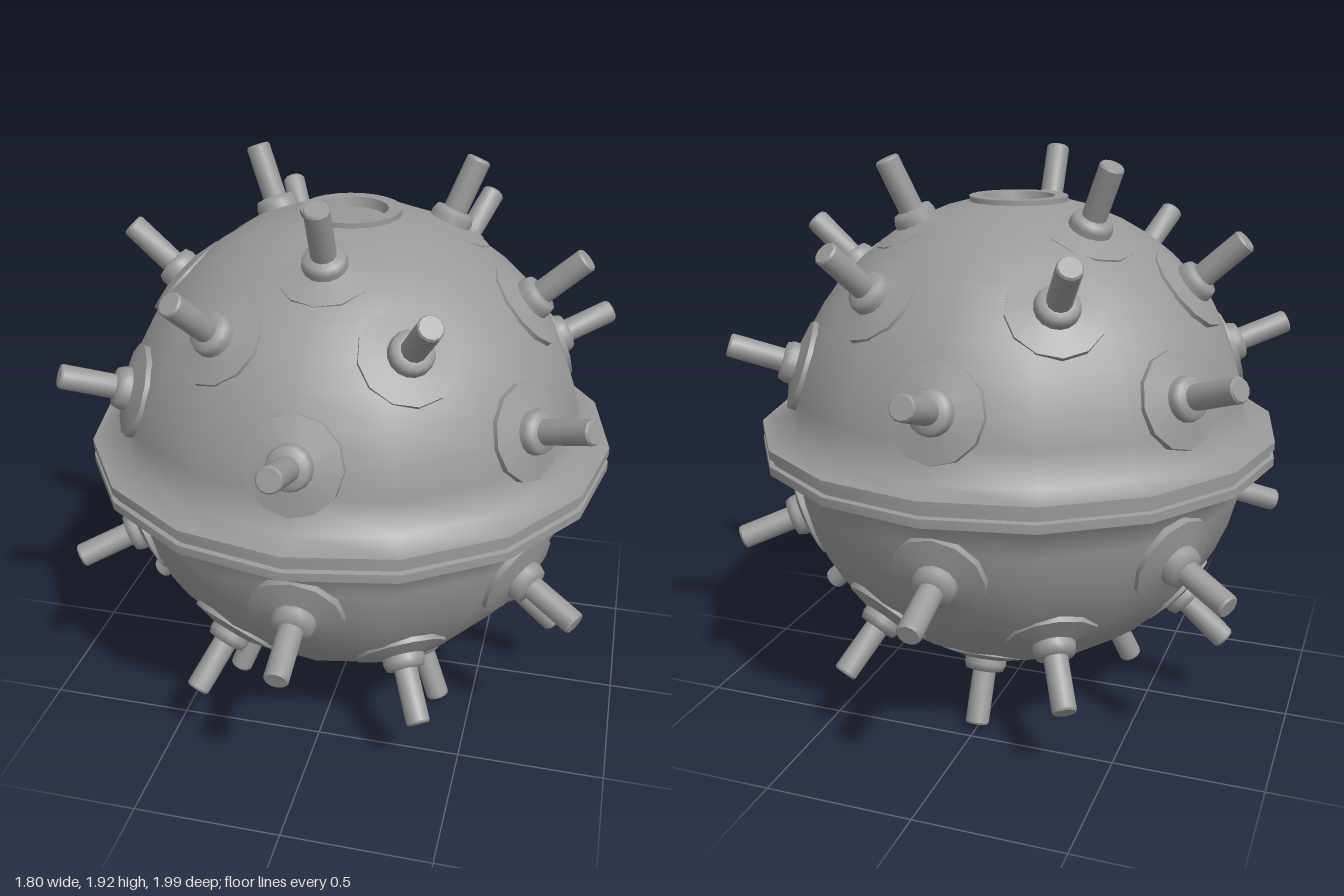
import * as THREE from 'three';
import { toCreasedNormals } from 'three/addons/utils/BufferGeometryUtils.js';

const material = new THREE.MeshStandardMaterial({ color: 0x999999 });
const RADIUS = 0.805;
const POLAR_RADIUS = 0.82;
const CENTRE_Y = 0.969;

const points = (list) => list.map(([x, y]) => new THREE.Vector2(x, y));
const smoothLathe = (list, sides) => new THREE.LatheGeometry(points(list), sides);
const sharpLathe = (list, sides) => toCreasedNormals(smoothLathe(list, sides), 0.6);

function addMesh(parent, geometry, name) {
  const mesh = new THREE.Mesh(geometry, material);
  mesh.name = name;
  parent.add(mesh);
  return mesh;
}

// Hemisphere whose shading blends smoothly into the equator flange
function shellGeometry() {
  const profile = [[0.9, 0.042], [RADIUS, 0.06]];
  const steps = 9;
  for (let i = 0; i <= steps; i++) {
    const e = THREE.MathUtils.degToRad(12 + (67 * i) / steps);
    profile.push([RADIUS * Math.cos(e), POLAR_RADIUS * Math.sin(e)]);
  }
  return smoothLathe(profile, 16);
}

// Parts shared by both halves; horns are built along +y from the sphere centre
const shell = shellGeometry();
const flangeEdge = sharpLathe([[0.885, 0], [0.885, 0.009], [0.9, 0.013], [0.9, 0.042]], 16);
const portRing = sharpLathe(
  [[0.167, 0.76], [0.167, 0.818], [0.122, 0.818], [0.116, 0.785], [0, 0.785]], 24);
const hornPlate = sharpLathe([[0.157, 0.74], [0.157, 0.799], [0.06, 0.82]], 12);
const hornCollar = smoothLathe(
  [[0.072, 0.78], [0.072, 0.835], [0.064, 0.857], [0.035, 0.863]], 16);
const hornRod = sharpLathe(
  [[0.041, 0.84], [0.041, 1.036], [0.036, 1.043], [0, 1.043]], 12);

function createHorn(elevation, azimuth) {
  const horn = new THREE.Group();
  horn.name = 'horn';
  addMesh(horn, hornPlate, 'hornPlate');
  addMesh(horn, hornCollar, 'hornCollar');
  addMesh(horn, hornRod, 'hornRod');
  const rad = THREE.MathUtils.degToRad;
  horn.rotation.set(rad(90 - elevation), rad(azimuth), 0, 'YXZ');
  return horn;
}

// Horn rings: elevation, first azimuth (from +z) and count
const hornRings = [
  [19.4, 0, 6],
  [42.5, 30, 6],
  [65, 0, 3],
];

function createHalf(name) {
  const half = new THREE.Group();
  half.name = name;
  addMesh(half, shell, 'shell');
  addMesh(half, flangeEdge, 'flangeEdge');
  addMesh(half, portRing, 'portRing');
  for (const [elevation, start, count] of hornRings) {
    for (let i = 0; i < count; i++) {
      half.add(createHorn(elevation, start + (360 * i) / count));
    }
  }
  return half;
}

export function createModel() {
  const model = new THREE.Group();
  model.name = 'navalMine';

  const body = new THREE.Group();
  body.name = 'body';
  body.position.y = CENTRE_Y;
  model.add(body);

  // The lower half is the upper one turned over about the x axis
  body.add(createHalf('upperHalf'));
  const lower = createHalf('lowerHalf');
  lower.rotation.x = Math.PI;
  body.add(lower);

  // Mooring ring hanging from the bottom port
  const ring = addMesh(body, new THREE.TorusGeometry(0.067, 0.015, 8, 24), 'mooringRing');
  ring.position.y = -0.807;

  return model;
}
